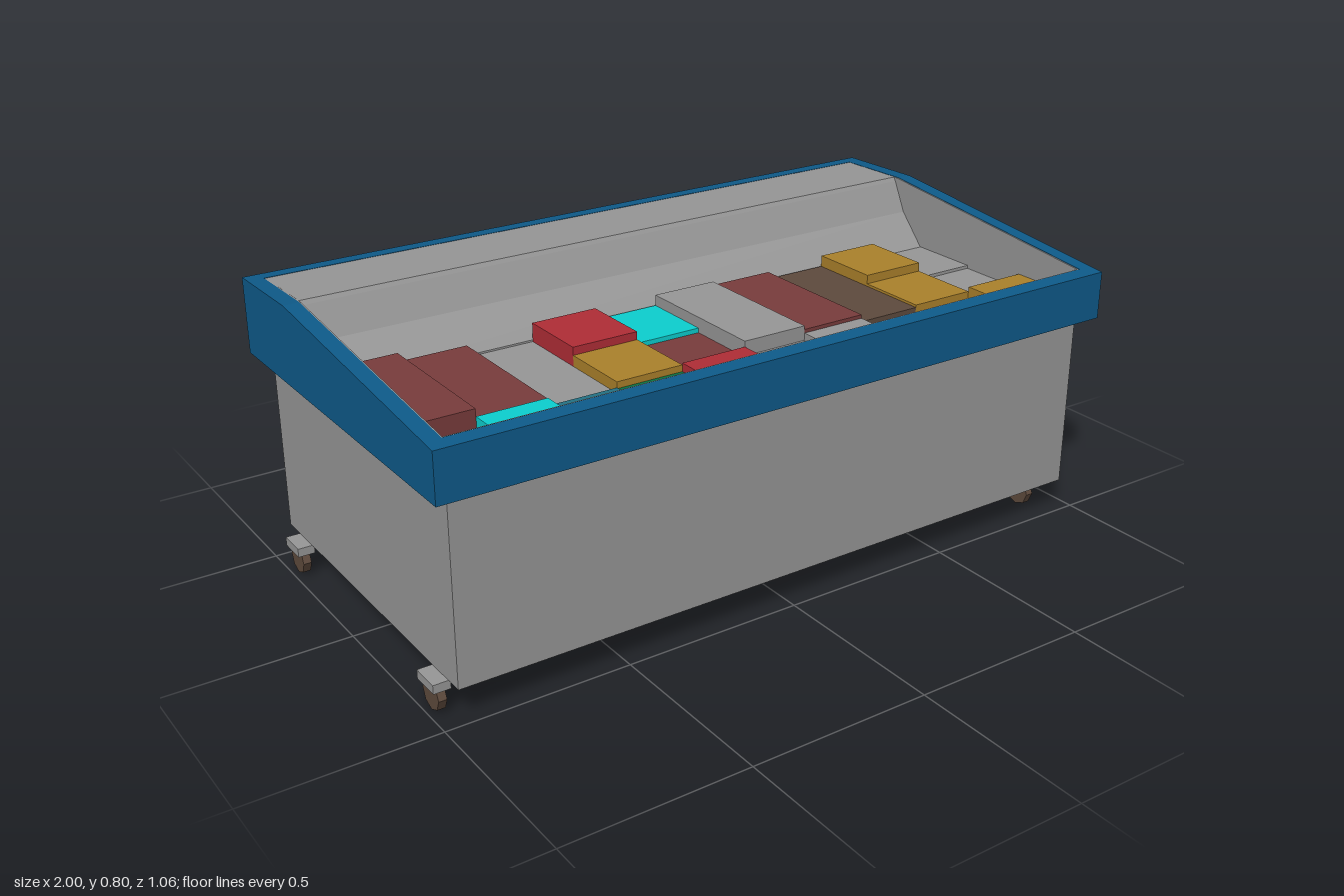
import * as THREE from 'three';

const mat = (name, color) => {
  const m = new THREE.MeshStandardMaterial({ color });
  m.name = name;
  return m;
};

export function createModel() {
  const M = {
    grey: mat('grey', 0x979797),
    blue: mat('blue', 0x0e5a89),
    maroon: mat('maroon', 0x793c3c),
    red: mat('red', 0xb02d36),
    cyan: mat('cyan', 0x0ccfcf),
    gold: mat('gold', 0xab812b),
    brown: mat('brown', 0x5e4a3d),
    teal: mat('teal', 0x237184),
    green: mat('green', 0x0c7243),
  };
  const root = new THREE.Group();
  root.name = 'chestFreezer';

  const add = (name, geometry, material, parent = root) => {
    const mesh = new THREE.Mesh(geometry, material);
    mesh.name = name;
    parent.add(mesh);
    return mesh;
  };
  // Box given by its lower and upper limits
  const box = (name, x0, x1, y0, y1, z0, z1, material, parent) => {
    const g = new THREE.BoxGeometry(x1 - x0, y1 - y0, z1 - z0);
    g.translate((x0 + x1) / 2, (y0 + y1) / 2, (z0 + z1) / 2);
    return add(name, g, material, parent);
  };
  // Side profile of [z, y] points swept from x0 to x1
  const sweep = (name, points, x0, x1, material) => {
    const shape = new THREE.Shape(points.map(([z, y]) => new THREE.Vector2(z, y)));
    const g = new THREE.ExtrudeGeometry(shape, { depth: x1 - x0, bevelEnabled: false });
    g.rotateY(-Math.PI / 2).translate(x1, 0, 0);
    return add(name, g, material);
  };

  // Cabinet and service panel
  box('cabinet', -0.955, 0.955, 0.09, 0.586, -0.487, 0.49, M.grey);
  box('servicePanel', 0.955, 0.98, 0.19, 0.467, -0.432, 0.16, M.grey);

  // Collar: sloping side walls joined by front and back walls
  const bottom = 0.585;
  const sideProfile = [[-0.53, bottom], [0.53, bottom], [0.53, 0.717], [-0.26, 0.797], [-0.53, 0.791]];
  sweep('collarSideRight', sideProfile, -1, -0.957, M.blue);
  sweep('collarSideLeft', sideProfile, 0.957, 1, M.blue);
  sweep('collarFront', [[0.488, bottom], [0.53, bottom], [0.53, 0.717], [0.488, 0.721]], -0.957, 0.957, M.blue);
  sweep('collarBack', [[-0.53, bottom], [-0.49, bottom], [-0.49, 0.792], [-0.53, 0.791]], -0.957, 0.957, M.blue);

  // Grey lining of the well
  const linerProfile = [[-0.49, bottom], [0.488, bottom], [0.488, 0.72], [-0.26, 0.796], [-0.49, 0.791]];
  sweep('linerRight', linerProfile, -0.957, -0.953, M.grey);
  sweep('linerLeft', linerProfile, 0.953, 0.957, M.grey);
  box('linerFront', -0.953, 0.953, bottom, 0.72, 0.483, 0.488, M.grey);
  sweep('backShelf', [
    [-0.49, bottom], [-0.14, bottom], [-0.14, 0.61], [-0.225, 0.7], [-0.268, 0.785], [-0.275, 0.796], [-0.49, 0.791],
  ], -0.953, 0.953, M.grey);

  // Packages: columns run along +x; each entry is [colour, top height]
  const rows = [-0.14, 0.065, 0.27, 0.475];
  const backPacks = [
    [['maroon', 0.66]], [['maroon', 0.637]], [['grey', 0.605]],
    [['red', 0.657], ['gold', 0.635]], [['cyan', 0.625], ['maroon', 0.612]],
    [['grey', 0.655]], [['maroon', 0.645]], [['brown', 0.625]],
    [['gold', 0.657], ['gold', 0.632]], [['grey', 0.612], ['grey', 0.603]],
  ];
  const frontPacks = [
    ['teal', 0.608], ['cyan', 0.64], ['teal', 0.62], ['green', 0.617], ['red', 0.64],
    ['grey', 0.615], ['grey', 0.635], ['grey', 0.608], ['brown', 0.612], ['gold', 0.645],
  ];
  const packs = new THREE.Group();
  packs.name = 'packages';
  root.add(packs);
  const pack = (column, z0, z1, [color, top]) => {
    const x = -0.954 + column * 0.1908;
    box('package', x, x + 0.1908, bottom, top, z0, z1, M[color], packs);
  };
  backPacks.forEach((list, i) => list.forEach((p, j) => {
    pack(i, rows[j], list.length === 1 ? rows[2] : rows[j + 1], p);
  }));
  frontPacks.forEach((p, i) => pack(i, rows[2], rows[3], p));

  // Casters: mounting plate and eight-sided wheel
  for (const x of [-0.972, 0.892]) {
    for (const z of [0.4, -0.382]) {
      const caster = new THREE.Group();
      caster.name = 'caster';
      caster.position.set(x, 0, z);
      root.add(caster);
      box('casterPlate', -0.023, 0.023, 0.066, 0.09, -0.041, 0.041, M.grey, caster);
      const wheel = new THREE.CylinderGeometry(0.041, 0.041, 0.022, 8).toNonIndexed();
      wheel.computeVertexNormals();
      wheel.rotateZ(Math.PI / 2).translate(0, 0.041, 0);
      add('wheel', wheel, M.brown, caster);
    }
  }
  return root;
}
